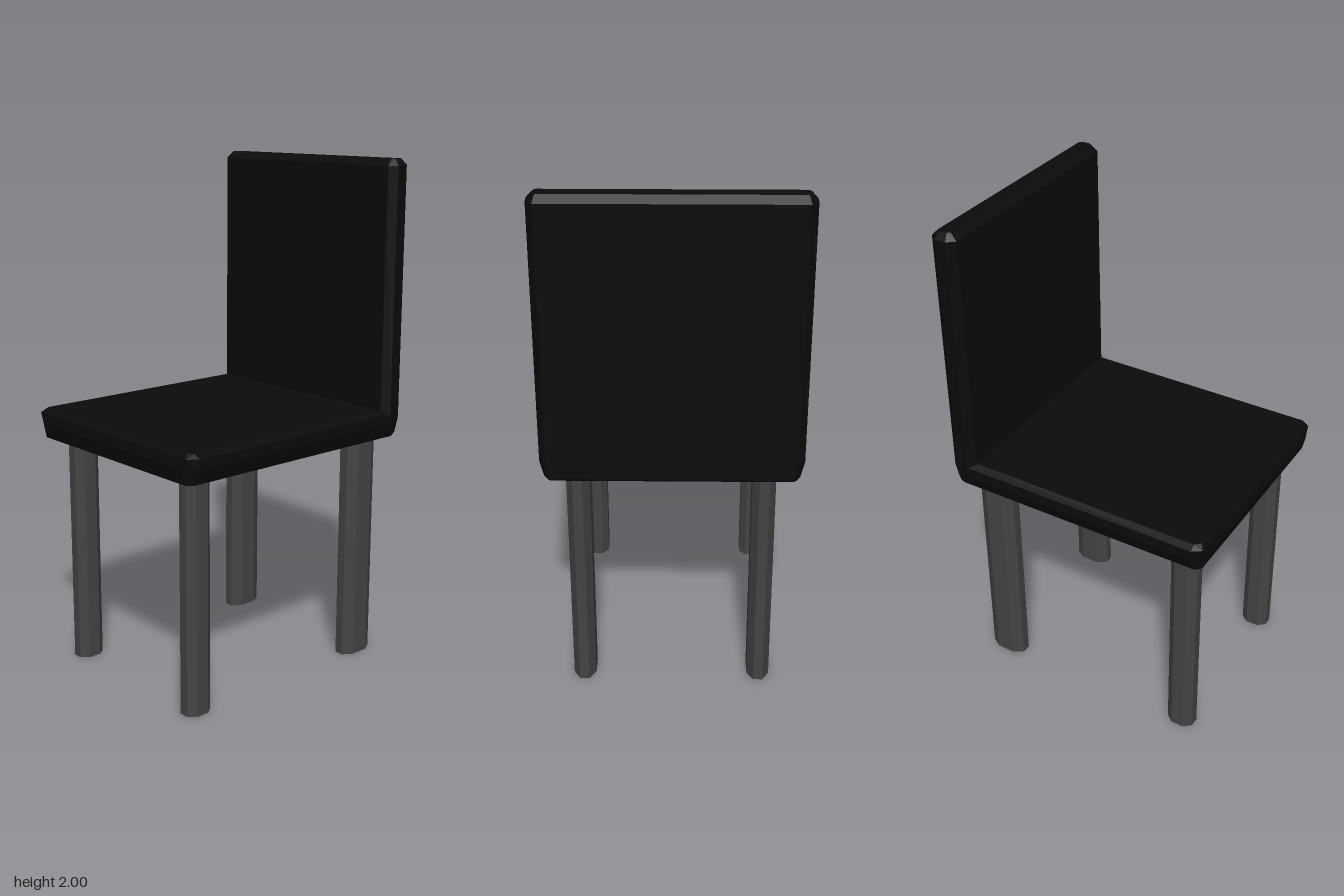
import * as THREE from 'three';
import { ConvexGeometry } from 'three/addons/geometries/ConvexGeometry.js';

const cushionMat = new THREE.MeshStandardMaterial({ color: 0x0b0b0b, flatShading: true });
const legMat = new THREE.MeshStandardMaterial({ color: 0x444444, flatShading: true });

// Corner-cut rectangle at height y: x range, half depth, corner cuts along x and z
function ring(y, x0, x1, hz, cx, cz) {
  const points = [];
  for (const s of [-1, 1]) {
    points.push(
      new THREE.Vector3(x0 + cx, y, s * hz), new THREE.Vector3(x1 - cx, y, s * hz),
      new THREE.Vector3(x0, y, s * (hz - cz)), new THREE.Vector3(x1, y, s * (hz - cz)));
  }
  return points;
}

function hull(name, rings, material) {
  const mesh = new THREE.Mesh(new ConvexGeometry(rings.flat()), material);
  mesh.name = name;
  return mesh;
}

// Straight leg with an eight-sided section
function leg(name, x, z, width, depth, cut) {
  const mesh = hull(name, [0, 0.94].map(
    (y) => ring(y, x - width / 2, x + width / 2, depth / 2, cut, 0.025)), legMat);
  mesh.position.z = z;
  return mesh;
}

export function createModel() {
  const chair = new THREE.Group();
  chair.name = 'chair';

  // Seat slab, bulging slightly at mid height
  chair.add(hull('seat', [
    ring(0.92, -0.53, 0.52, 0.45, 0.02, 0.02),
    ring(0.98, -0.546, 0.54, 0.476, 0.046, 0.06),
    ring(1.02, -0.54, 0.54, 0.474, 0.035, 0.025),
    ring(1.035, -0.525, 0.52, 0.45, 0.02, 0.02),
  ], cushionMat));

  // Upright back panel on the +x side
  chair.add(hull('backrest', [
    ring(0.92, 0.46, 0.52, 0.45, 0.01, 0.01),
    ring(0.94, 0.44, 0.545, 0.463, 0.03, 0.025),
    ring(1.0, 0.44, 0.545, 0.478, 0.03, 0.025),
    ring(1.975, 0.44, 0.545, 0.478, 0.03, 0.025),
    ring(2.0, 0.467, 0.52, 0.455, 0.01, 0.01),
  ], cushionMat));

  // Slim legs under the open edge, wider ones under the backrest
  for (const [side, s] of [['Left', 1], ['Right', -1]]) {
    const z = s * 0.342 + 0.004;
    chair.add(leg('frontLeg' + side, -0.42, z, 0.112, 0.087, 0.03));
    chair.add(leg('backLeg' + side, 0.428, z, 0.154, 0.087, 0.04));
  }
  return chair;
}
